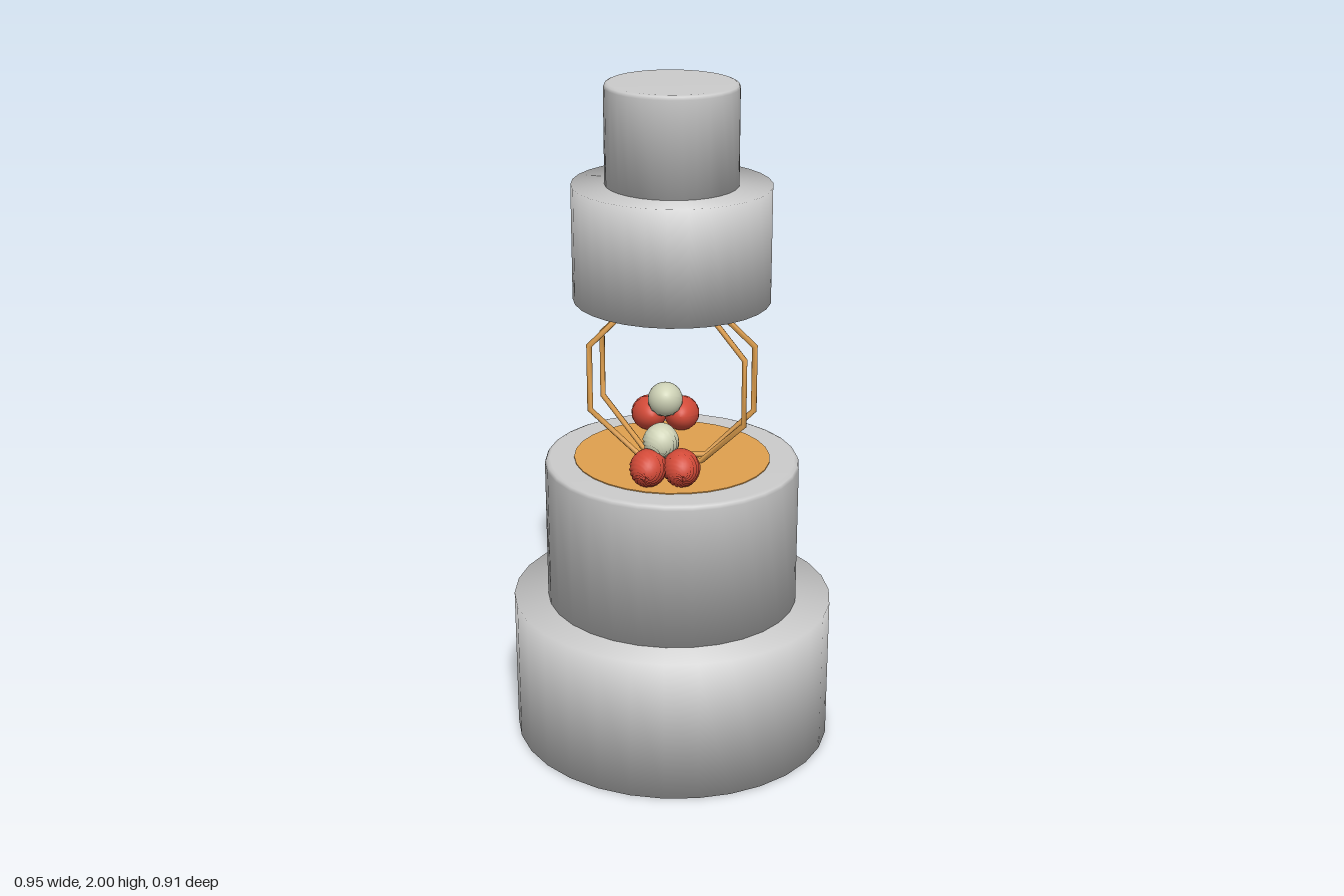
import * as THREE from 'three';

const grey = new THREE.MeshStandardMaterial({ color: 0xcccccc });
const gold = new THREE.MeshStandardMaterial({ color: 0xe0a04e });
const red = new THREE.MeshStandardMaterial({ color: 0xd24a38 });
const cream = new THREE.MeshStandardMaterial({ color: 0xd0d4b8 });

const DEPTH = 0.947; // tiers are slightly narrower front to back

function add(parent, name, geometry, material) {
  const mesh = new THREE.Mesh(geometry, material);
  mesh.name = name;
  parent.add(mesh);
  return mesh;
}

// Solid round tier with softly blended normals and an optional small top bevel
function tier(parent, name, radius, y0, y1, bevel) {
  const profile = [[0, y0], [radius, y0]];
  if (bevel) profile.push([radius, y1 - bevel], [radius - bevel * 0.3, y1 - bevel * 0.3], [radius - bevel, y1]);
  else profile.push([radius, y1]);
  profile.push([0, y1]);
  const points = profile.map(([x, y]) => new THREE.Vector2(x, y));
  add(parent, name, new THREE.LatheGeometry(points, 30), grey).scale.z = DEPTH;
}

// Egg-shaped berry along +z: smooth at the inner end, knobbly at the outer end
function berryGeometry(radius, length) {
  const geo = new THREE.SphereGeometry(1, 28, 22);
  geo.rotateX(Math.PI / 2);
  const p = geo.attributes.position;
  const v = new THREE.Vector3();
  for (let i = 0; i < p.count; i++) {
    v.fromBufferAttribute(p, i);
    const col = i % 29, row = Math.floor(i / 29);
    const outer = v.z > 0.1 && v.z < 0.99;
    const bump = outer ? (((col % 28) + row) % 2 ? 1.04 : 0.94) : 1;
    const taper = v.z < 0 ? 1 + v.z * 0.15 : 1;
    p.setXYZ(i, v.x * radius * bump * taper, v.y * radius * bump * taper, v.z * length * bump);
  }
  geo.computeVertexNormals();
  return geo;
}

export function createModel() {
  const model = new THREE.Group();
  model.name = 'tieredCake';

  // Cake tiers
  tier(model, 'bottomTier', 0.48, 0, 0.443, 0);
  tier(model, 'secondTier', 0.377, 0.443, 0.888, 0.015);
  tier(model, 'thirdTier', 0.285, 1.38, 1.715, 0);
  tier(model, 'topTier', 0.19, 1.715, 2, 0.012);

  // Gold plates facing the open gap
  const lowerPlate = add(model, 'lowerPlate', new THREE.CylinderGeometry(0.29, 0.29, 0.006, 30), gold);
  lowerPlate.position.y = 0.888;
  lowerPlate.scale.z = DEPTH;
  const upperPlate = add(model, 'upperPlate', new THREE.CylinderGeometry(0.207, 0.207, 0.006, 30), gold);
  upperPlate.position.y = 1.38;
  upperPlate.scale.z = DEPTH;

  // Two crossed octagonal hoops carrying the upper tiers
  const hoop = new THREE.TorusGeometry(0.259, 0.009, 6, 8);
  hoop.rotateZ(Math.PI / 8);
  for (const side of [-1, 1]) {
    const ring = add(model, 'supportHoop', hoop, gold);
    ring.position.y = 1.134;
    ring.rotation.y = side * 0.26;
  }

  // Berry clusters at front and back, leaning outwards
  const redBerry = berryGeometry(0.053, 0.064);
  const creamBerry = berryGeometry(0.052, 0.054);
  const clusters = {
    frontBerries: [[-0.01, 0.94, 0.21], [0.08, 0.94, 0.185], [0.012, 1.003, 0.157]],
    backBerries: [[-0.125, 0.94, -0.19], [-0.03, 0.94, -0.213], [-0.066, 1.003, -0.16]],
  };
  for (const [name, spots] of Object.entries(clusters)) {
    const cluster = new THREE.Group();
    cluster.name = name;
    model.add(cluster);
    spots.forEach(([x, y, z], i) => {
      const top = i === 2;
      const berry = add(cluster, top ? 'creamBerry' : 'redBerry', top ? creamBerry : redBerry, top ? cream : red);
      berry.position.set(x, y, z);
      const out = Math.sign(z);
      berry.lookAt(x + x * 0.5 + out * 0.03, y - (top ? 0.12 : 0.04), z + out * 0.2);
    });
  }

  return model;
}
